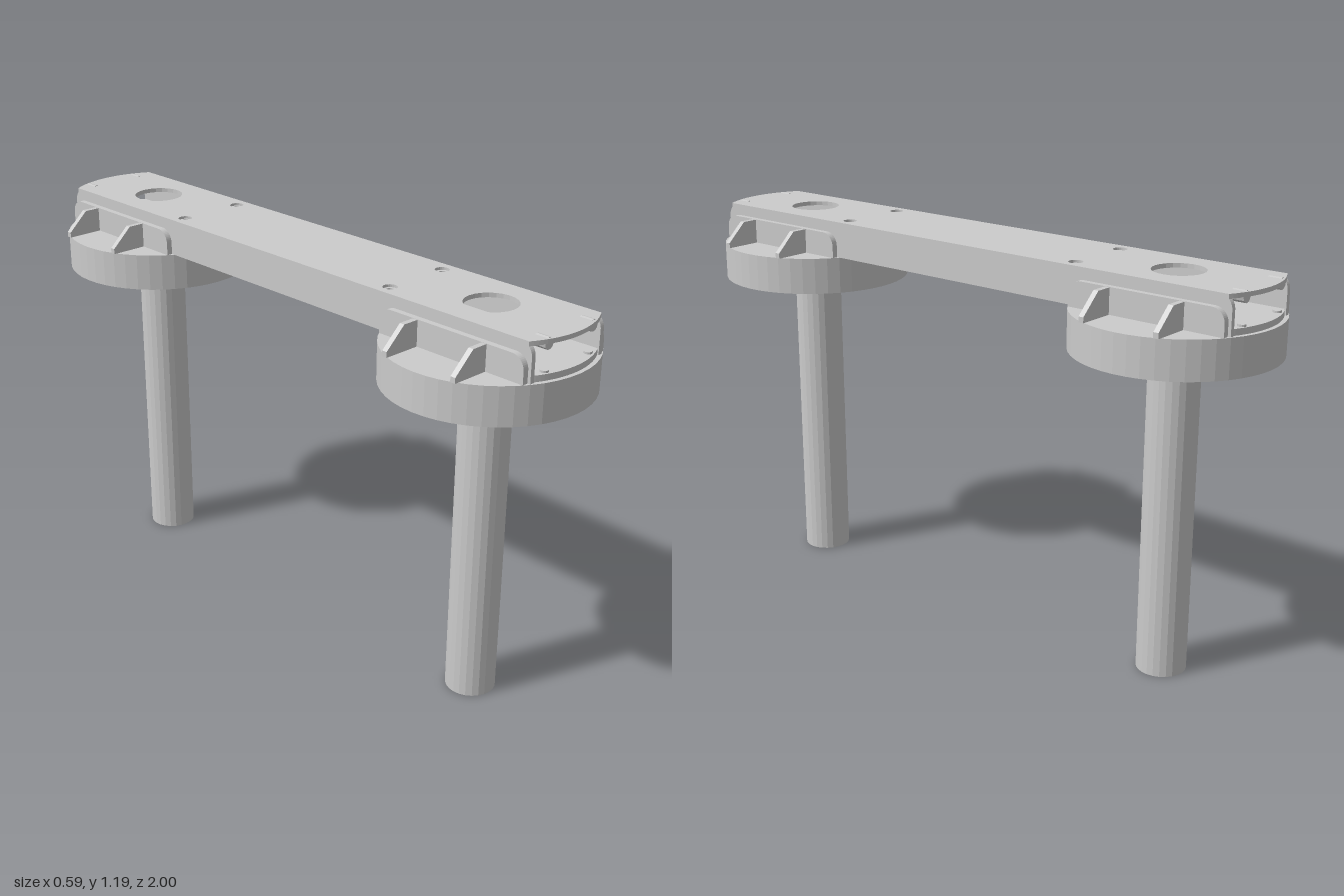
import * as THREE from 'three';

const CZ = 0.703;   // post centre along z
const R = 0.297;    // cup radius
const HW = 0.147;   // half width of the beam
const mat = new THREE.MeshStandardMaterial({ color: 0xcccccc, flatShading: true, side: THREE.DoubleSide });

function add(parent, name, geo, x = 0, y = 0, z = 0) {
  const m = new THREE.Mesh(geo, mat);
  m.name = name;
  m.position.set(x, y, z);
  parent.add(m);
  return m;
}

const extrude = (shape, depth, curveSegments = 12) =>
  new THREE.ExtrudeGeometry(shape, { depth, bevelEnabled: false, curveSegments });

const lathe = (pts, seg) => new THREE.LatheGeometry(pts.map(p => new THREE.Vector2(p[0], p[1])), seg);

// horizontal plate whose two ends follow an arc around each post
function plate(halfW, endR, thick, holes) {
  const s = new THREE.Shape();
  const a = Math.asin(halfW / endR);
  s.absarc(0, CZ, endR, Math.PI / 2 - a, Math.PI / 2 + a, false);
  s.absarc(0, -CZ, endR, -Math.PI / 2 - a, -Math.PI / 2 + a, false);
  s.closePath();
  for (const [x, z, r] of holes) {
    const h = new THREE.Path();
    h.absarc(x, z, r, 0, Math.PI * 2, true);
    s.holes.push(h);
  }
  return extrude(s, thick).rotateX(-Math.PI / 2);
}

// upright panel along z with rounded upper corners, centred in x
function panel(z0, z1, height, radius, thick) {
  const s = new THREE.Shape();
  s.moveTo(z0, 0);
  s.lineTo(z1, 0);
  s.lineTo(z1, height - radius);
  s.absarc(z1 - radius, height - radius, radius, 0, Math.PI / 2, false);
  s.lineTo(z0 + radius, height);
  s.absarc(z0 + radius, height - radius, radius, Math.PI / 2, Math.PI, false);
  s.closePath();
  return extrude(s, thick, 6).rotateY(-Math.PI / 2).translate(thick / 2, 0, 0);
}

function createBeam() {
  const beam = new THREE.Group();
  beam.name = 'beam';
  const posts = [[0, CZ, 0.076], [0, -CZ, 0.076]];
  const screws = [];
  for (const x of [-0.105, 0.105]) for (const z of [-0.437, 0.437]) screws.push([x, z, 0.021]);
  add(beam, 'topPlate', plate(HW, 0.284, 0.013, [...posts, ...screws]), 0, 1.178);
  add(beam, 'floorPlate', plate(HW - 0.012, 0.284, 0.018, posts), 0, 1.08);
  for (const s of [-1, 1])
    add(beam, 'sideWall', panel(-0.958, 0.958, 0.11, 0.04, 0.014), s * (HW - 0.007), 1.08);
  // recessed seats in the screw holes
  for (const [x, z] of screws)
    add(beam, 'screwSeat', lathe([[0.012, 0], [0.022, 0], [0.022, 0.008], [0.012, 0.008], [0.012, 0]], 16), x, 1.175, z);
  return beam;
}

function createSupport() {
  const g = new THREE.Group();
  g.name = 'support';
  // hollow post
  add(g, 'post', lathe([[0.067, 0], [0.074, 0], [0.074, 1.08], [0.067, 1.08], [0.067, 0]], 24), 0, 0, CZ);
  // round cup, open below, with a collar around the post
  add(g, 'cup', lathe([
    [0.074, 1.0], [0.092, 1.0], [0.092, 1.066], [0.277, 1.066], [0.277, 0.968],
    [R, 0.968], [R, 1.08], [0.074, 1.08], [0.074, 1.0],
  ], 48), 0, 0, CZ);
  // side cheeks with sloped ribs
  const rib = new THREE.Shape();
  [[0.16, 0], [0.279, 0], [0.279, 0.016], [0.215, 0.075], [0.16, 0.075]]
    .forEach(([x, y], i) => (i ? rib.lineTo(x, y) : rib.moveTo(x, y)));
  rib.closePath();
  for (const side of [-1, 1]) {
    add(g, 'cheek', panel(-0.246, 0.246, 0.076, 0.04, 0.018), side * 0.156, 1.08, CZ);
    for (const dz of [-0.117, 0.117]) {
      const r = add(g, 'rib', extrude(rib, 0.016).translate(0, 0, -0.008), 0, 1.08, CZ + dz);
      if (side < 0) r.rotation.y = Math.PI;
    }
    // small bosses inside the open end of the beam
    add(g, 'upperBoss', new THREE.CylinderGeometry(0.017, 0.017, 0.04, 12).rotateX(Math.PI / 2), side * 0.09, 1.173 + 0.003, 0.945);
    add(g, 'lowerBoss', new THREE.CylinderGeometry(0.012, 0.012, 0.008, 12), side * 0.09, 1.1, 0.955);
  }
  return g;
}

export function createModel() {
  const model = new THREE.Group();
  model.name = 'twinPostBracket';
  model.add(createBeam());
  const front = createSupport();
  front.name = 'frontSupport';
  const back = createSupport();
  back.name = 'backSupport';
  back.rotation.y = Math.PI;
  model.add(front, back);
  return model;
}
